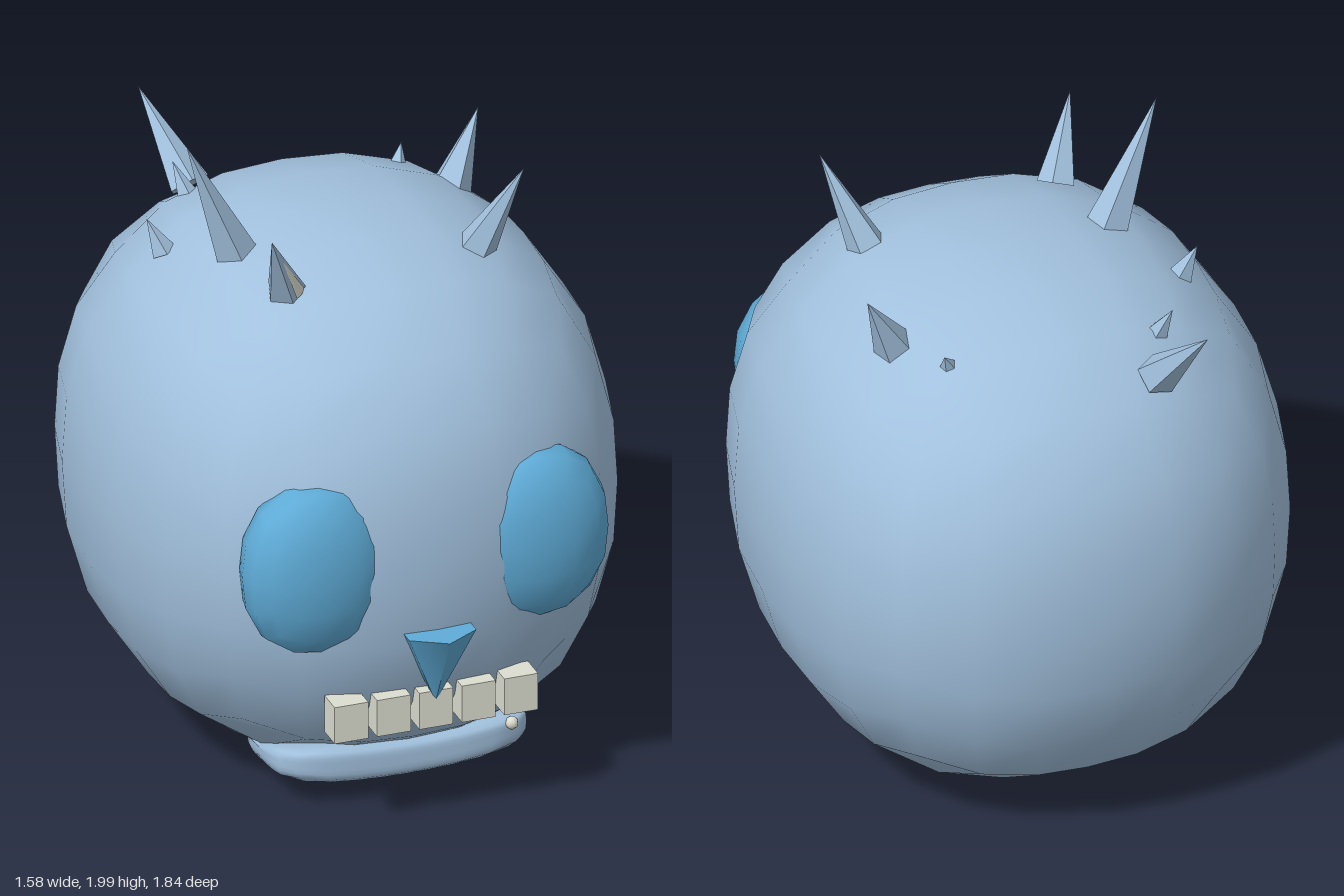
import * as THREE from 'three';
import { mergeVertices } from 'three/addons/utils/BufferGeometryUtils.js';

const mat = (name, color) => {
  const m = new THREE.MeshStandardMaterial({ color });
  m.name = name;
  return m;
};

// Boxy ellipsoid: a subdivided cube pushed onto a superellipsoid, with an optional bend rule
function blob(radii, power, segments, bend) {
  let geo = new THREE.BoxGeometry(2, 2, 2, segments, segments, segments);
  geo.deleteAttribute('uv');
  geo.deleteAttribute('normal');
  geo = mergeVertices(geo);
  const pos = geo.attributes.position;
  const v = new THREE.Vector3();
  for (let i = 0; i < pos.count; i++) {
    v.fromBufferAttribute(pos, i);
    v.set(...v.toArray().map((c) => Math.tan(c * Math.PI / 4)));
    const len = Math.pow(v.toArray().reduce((s, c) => s + Math.pow(Math.abs(c), power), 0), 1 / power);
    v.divideScalar(len);
    if (bend) bend(v);
    v.multiply(radii);
    pos.setXYZ(i, v.x, v.y, v.z);
  }
  geo.computeVertexNormals();
  return geo;
}

export function createModel() {
  const model = new THREE.Group();
  const skin = mat('pale blue skin', 0xa2c1de);
  const blue = mat('bright blue', 0x5facd8);
  const bone = mat('bone', 0xdcded0);

  const add = (name, geo, material, x, y, z) => {
    const mesh = new THREE.Mesh(geo, material);
    mesh.name = name;
    mesh.position.set(x, y, z);
    model.add(mesh);
    return mesh;
  };

  // Head
  add('head', blob(new THREE.Vector3(0.79, 0.833, 0.875), 2.4, 6), skin, 0, 0.843, -0.045);

  // Eyes, sunk into the face
  const eyeGeo = blob(new THREE.Vector3(0.23, 0.275, 0.143), 2.3, 4);
  for (const side of [1, -1]) {
    add(side > 0 ? 'leftEye' : 'rightEye', eyeGeo, blue, side * 0.342, 0.888, 0.697);
  }

  // Nose: six-sided cone pointing down
  const nose = add('nose', new THREE.ConeGeometry(0.122, 0.25, 6), blue, 0, 0.547, 0.796);
  nose.rotation.z = Math.PI;

  // Teeth
  const toothGeo = new THREE.BoxGeometry(0.106, 0.12, 0.085);
  for (let i = -2; i <= 2; i++) add('tooth', toothGeo, bone, i * 0.1335, 0.402, 0.76);

  // Lower lip: ends raised, front lifted, back tapering into the head
  const lipGeo = blob(new THREE.Vector3(0.4, 0.07, 0.2), 5, 8, (v) => {
    const back = (1 - v.z) / 2;
    if (v.y > 0) v.y *= 1 - 0.85 * back;
    v.y += (0.5 * v.x * v.x + 0.15) * (1 - back) - 0.35 * back * (v.y > 0 ? 1 : 0);
  });
  add('lowerLip', lipGeo, skin, 0, 0.122, 0.385);
  add('lipTooth', new THREE.SphereGeometry(0.02, 8, 6), bone, 0.325, 0.185, 0.568);

  // Spikes: base, tip, radius
  const spikes = [
    [[-0.34, 1.59, 0.03], [-0.51, 2.0, 0.06], 0.07],
    [[-0.285, 1.6, 0.295], [-0.375, 1.83, 0.42], 0.06],
    [[0.35, 1.59, 0.21], [0.46, 1.875, 0.31], 0.06],
    [[0.44, 1.54, -0.26], [0.55, 1.76, -0.32], 0.065],
    [[-0.25, 1.5, -0.62], [-0.33, 1.74, -0.83], 0.065],
    [[-0.49, 1.53, -0.19], [-0.535, 1.635, -0.21], 0.04],
    [[0.335, 1.55, -0.43], [0.36, 1.61, -0.46], 0.03],
    [[-0.31, 1.55, -0.475], [-0.34, 1.645, -0.515], 0.033],
  ];
  const up = new THREE.Vector3(0, 1, 0);
  spikes.forEach(([base, tip, r], i) => {
    const a = new THREE.Vector3(...base);
    const dir = new THREE.Vector3(...tip).sub(a);
    const h = dir.length();
    const geo = new THREE.ConeGeometry(r, h, 5).toNonIndexed();
    geo.translate(0, h / 2, 0);
    geo.computeVertexNormals();
    geo.clearGroups();
    const spike = add('spike', geo, skin, ...base);
    spike.quaternion.setFromUnitVectors(up, dir.normalize());
    // Small bone chip at the foot of one spike
    if (i === 1) {
      const chip = new THREE.Mesh(new THREE.ConeGeometry(r * 0.68, h * 0.6, 5, 1, true, 0.1, 1.05), bone);
      chip.name = 'spikeChip';
      chip.position.set(0.012, h * 0.34, 0.012);
      spike.add(chip);
    }
  });

  return model;
}
